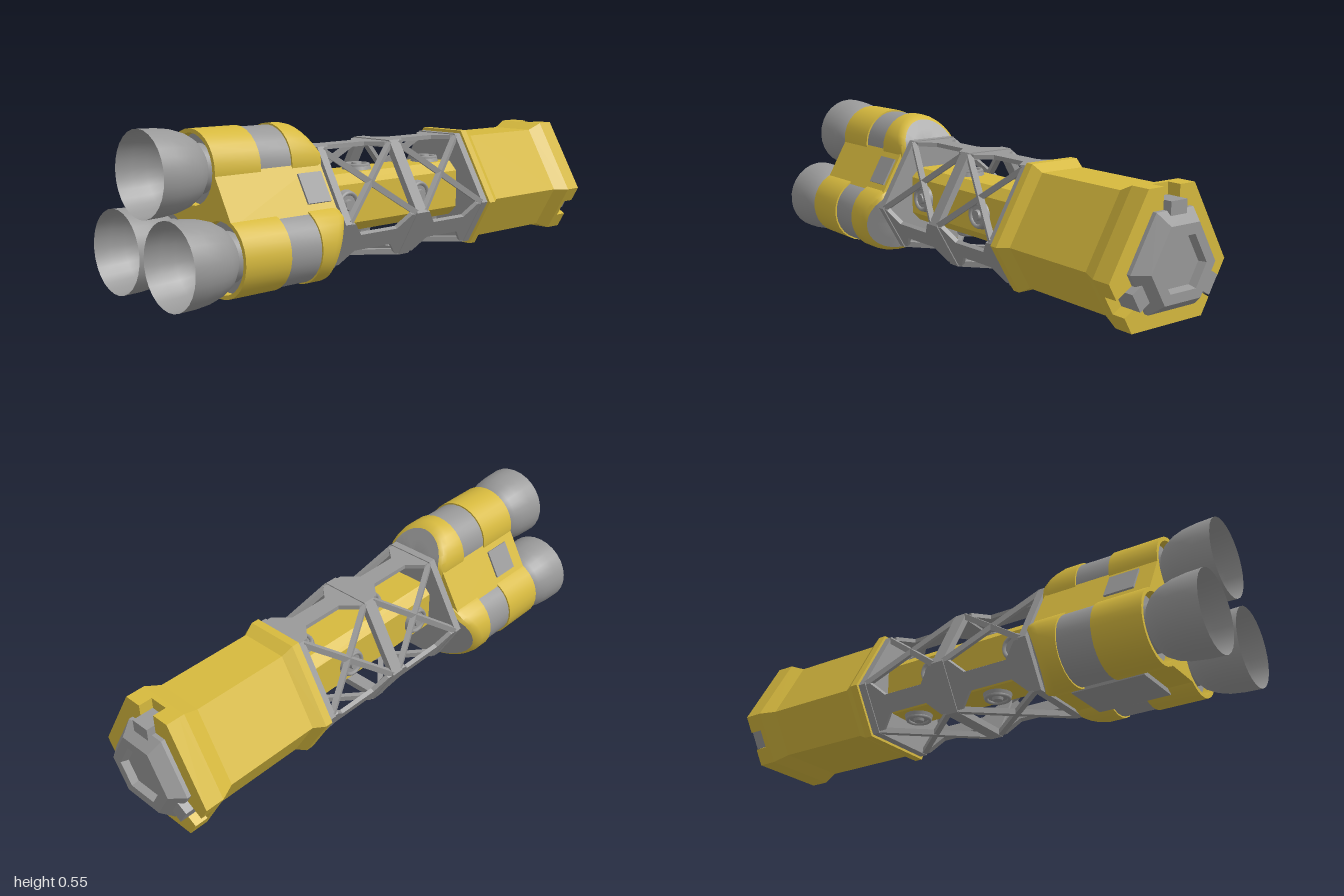
import * as THREE from 'three';
import { toCreasedNormals } from 'three/addons/utils/BufferGeometryUtils.js';

const yellow = new THREE.MeshStandardMaterial({ color: 0xd6b93e });
yellow.name = 'yellow paint';
const grey = new THREE.MeshStandardMaterial({ color: 0x999999 });
grey.name = 'grey metal';
const shell = new THREE.MeshStandardMaterial({ color: 0x999999, side: THREE.DoubleSide });
shell.name = 'thin grey metal';

const CENTRE_Y = 0.231;
const DEG = Math.PI / 180;
const CORNERS = [-30, 90, 210];
const POD = 0.178; // distance of each engine from the axis

function add(parent, name, geometry, material, x = 0, y = 0, z = 0) {
  const mesh = new THREE.Mesh(geometry, material);
  mesh.name = name;
  mesh.position.set(x, y, z);
  parent.add(mesh);
  return mesh;
}

// Skin between rings of points; rings run from +z to -z on an outer wall
function loft(rings, crease = 35) {
  const n = rings[0].length, index = [];
  for (let i = 0; i < rings.length - 1; i++) {
    for (let j = 0; j < n; j++) {
      const a = i * n + j, b = i * n + (j + 1) % n;
      index.push(a, a + n, b, b, a + n, b + n);
    }
  }
  const g = new THREE.BufferGeometry();
  g.setAttribute('position', new THREE.Float32BufferAttribute(rings.flat(2), 3));
  g.setIndex(index);
  return toCreasedNormals(g, crease * DEG);
}

// Round ring; z may be a number or a rule of the local y
function circle(r, z, n = 28) {
  return Array.from({ length: n }, (_, i) => {
    const a = i / n * Math.PI * 2, y = r * Math.sin(a);
    return [r * Math.cos(a), y, typeof z === 'function' ? z(y) : z];
  });
}

// Triangle with cut corners
function hex(r, z, half = 23) {
  return CORNERS.flatMap(d => [d - half, d + half])
    .map(a => [r * Math.cos(a * DEG), r * Math.sin(a * DEG), z]);
}
const hexLoft = (profile, half) => loft(profile.map(([r, z]) => hex(r, z, half)), 10);
const roundLoft = profile => loft(profile.map(([r, z]) => circle(r, z)));

function extrude(shape, depth, curveSegments = 16) {
  return new THREE.ExtrudeGeometry(shape, { depth, bevelEnabled: false, curveSegments });
}

function beam(parent, name, a, b, w) {
  const m = add(parent, name, new THREE.BoxGeometry(w, w, a.distanceTo(b)), grey);
  m.position.copy(a).add(b).multiplyScalar(0.5);
  m.lookAt(b);
}

function buildEngine() {
  const g = new THREE.Group();
  g.name = 'enginePod';
  // The inner end slopes away towards the outside
  const end = offset => y => 0.36 + Math.max(0, y - 0.022) * 0.6 + offset;
  add(g, 'podFront', roundLoft([[0.118, 0.77], [0.118, 0.81], [0.132, 0.81], [0.132, 0.63], [0.126, 0.63]]), yellow);
  add(g, 'podFloor', roundLoft([[0, 0.775], [0.119, 0.775]]), grey);
  add(g, 'podBand', roundLoft([[0.126, 0.63], [0.126, 0.5]]), grey);
  add(g, 'podRear', roundLoft([[0.126, 0.5], [0.132, 0.5], [0.132, end(0.03)], [0.127, end(0.01)], [0.115, end(0)]]), yellow);
  add(g, 'podEndCap', roundLoft([[0.115, end(0)], [0.08, end(0)], [0.04, end(0)], [0, end(0)]]), grey);
  // Bell nozzle with its throat
  add(g, 'nozzleNeck', roundLoft([[0.083, 0.802], [0.083, 0.77]]), grey);
  add(g, 'nozzleBell', roundLoft([[0.142, 1], [0.14, 0.94], [0.134, 0.89], [0.122, 0.85], [0.105, 0.82], [0.083, 0.8]]), shell);
  add(g, 'nozzleThroat', new THREE.CircleGeometry(0.083, 28), grey, 0, 0, 0.803);
  return g;
}

function buildEngineBlock() {
  const g = new THREE.Group();
  g.name = 'engineBlock';
  for (const d of CORNERS) {
    const pod = buildEngine();
    pod.position.set(POD * Math.cos(d * DEG), POD * Math.sin(d * DEG), 0);
    pod.rotation.z = (d - 90) * DEG;
    g.add(pod);
  }
  // Triangular core, hollowed where the pods sit
  const core = new THREE.Shape();
  for (const d of CORNERS) {
    core.absarc(POD * Math.cos(d * DEG), POD * Math.sin(d * DEG), 0.122, (d - 88.7) * DEG, (d + 88.7) * DEG, true);
  }
  add(g, 'engineCore', extrude(core, 0.435), yellow, 0, 0, 0.375);
  // Access panels in the valleys: direction, z range, width, height
  for (const [d, z0, z1, w, h] of [[30, 0.39, 0.49, 0.11, 0.203], [150, 0.64, 0.75, 0.11, 0.203], [270, 0.45, 0.72, 0.2, 0.213]]) {
    const p = add(g, 'valleyPanel', new THREE.BoxGeometry(w, 0.03, z1 - z0), grey);
    p.position.set((h - 0.015) * Math.cos(d * DEG), (h - 0.015) * Math.sin(d * DEG), (z0 + z1) / 2);
    p.rotation.z = (d - 90) * DEG;
  }
  return g;
}

function buildTruss() {
  const g = new THREE.Group();
  g.name = 'truss';
  // End plates and open middle frame
  for (const z of [0.36, -0.34]) {
    add(g, 'endFrame', hexLoft([[0, z], [0.243, z], [0.243, z - 0.03], [0, z - 0.03]]), grey);
  }
  const ring = new THREE.Shape(hex(0.243, 0).map(p => new THREE.Vector2(p[0], p[1])));
  ring.holes.push(new THREE.Path(hex(0.212, 0).map(p => new THREE.Vector2(p[0], p[1]))));
  add(g, 'middleFrame', extrude(ring, 0.05), grey, 0, 0, -0.035);

  const verts = hex(0.229, 0);
  for (const [z0, z1] of [[0.01, 0.335], [-0.345, -0.03]]) {
    // Corner strips that widen at the frames
    const L = (z1 - z0) / 2;
    const half = [[0.09, -L], [0.09, -L + 0.025], [0.035, -L + 0.075], [0.035, L - 0.075], [0.09, L - 0.025], [0.09, L]];
    const outline = [...half, ...half.map(([x, y]) => [-x, y]).reverse()];
    const strip = extrude(new THREE.Shape(outline.map(p => new THREE.Vector2(...p))), 0.016).rotateX(-Math.PI / 2);
    for (const d of CORNERS) {
      const m = add(g, 'cornerStrip', strip, grey);
      m.position.set(0.204 * Math.cos(d * DEG), 0.204 * Math.sin(d * DEG), (z0 + z1) / 2);
      m.rotation.z = (d - 90) * DEG;
    }
    // Crossed braces on the wide faces
    for (const i of [1, 3, 5]) {
      const p = verts[i], q = verts[(i + 1) % 6];
      beam(g, 'crossBrace', new THREE.Vector3(p[0], p[1], z0), new THREE.Vector3(q[0], q[1], z1), 0.021);
      beam(g, 'crossBrace', new THREE.Vector3(q[0], q[1], z0), new THREE.Vector3(p[0], p[1], z1), 0.02);
    }
  }
  return g;
}

function buildTank() {
  const g = new THREE.Group();
  g.name = 'innerTank';
  // Square tank with cut edges
  const h = 0.105, c = 0.07;
  const pts = [[h, -c], [h, c], [c, h], [-c, h], [-h, c], [-h, -c], [-c, -h], [c, -h]];
  add(g, 'tankBody', extrude(new THREE.Shape(pts.map(p => new THREE.Vector2(...p))), 0.67), yellow, 0, 0.012, -0.34);
  // Round hatches, two on each side
  for (let k = 0; k < 4; k++) {
    for (const z of k % 2 ? [0.24, -0.12] : [0.09, -0.27]) {
      const hatch = new THREE.Group();
      hatch.name = 'hatch';
      const a = Math.PI / 2 * k;
      hatch.position.set(-Math.sin(a) * h, 0.012 + Math.cos(a) * h, z);
      hatch.rotation.z = a;
      add(hatch, 'hatchPlate', new THREE.CylinderGeometry(0.05, 0.055, 0.016, 20), grey, 0, 0.006);
      add(hatch, 'hatchRim', new THREE.TorusGeometry(0.043, 0.008, 6, 20).rotateX(Math.PI / 2), grey, 0, 0.015);
      add(hatch, 'hatchHub', new THREE.CylinderGeometry(0.018, 0.022, 0.014, 12), grey, 0, 0.018);
      g.add(hatch);
    }
  }
  return g;
}

function buildRearModule() {
  const g = new THREE.Group();
  g.name = 'rearModule';
  add(g, 'rearHull', hexLoft([[0, -0.37], [0.255, -0.37], [0.255, -0.4], [0.228, -0.44], [0.228, -0.81], [0.255, -0.87], [0.255, -0.89], [0, -0.89]]), yellow);
  // End rim with a notch in each cut corner
  const rim = new THREE.Shape(), out = 0.255 * Math.cos(23 * DEG), side = 0.255 * Math.sin(23 * DEG);
  const notch = [[out, -side], [out, -0.035], [0.185, -0.035], [0.185, 0.035], [out, 0.035], [out, side]];
  const points = CORNERS.flatMap(d => notch.map(([u, t]) => new THREE.Vector2(u, t).rotateAround(new THREE.Vector2(), d * DEG)));
  rim.setFromPoints(points);
  add(g, 'rearRim', extrude(rim, 0.05), yellow, 0, 0, -0.94);
  // Docking cap with a recessed centre
  add(g, 'dockingCap', hexLoft([[0.182, -0.93], [0.182, -0.955], [0.14, -1], [0.1, -1], [0.09, -0.975], [0, -0.975]], 26), grey);
  for (const d of CORNERS) {
    const lug = add(g, 'dockingLug', new THREE.BoxGeometry(0.07, 0.06, 0.08), grey);
    lug.position.set(0.165 * Math.cos(d * DEG), 0.165 * Math.sin(d * DEG), -0.931);
    lug.rotation.z = (d - 90) * DEG;
  }
  return g;
}

export function createModel() {
  const model = new THREE.Group();
  model.name = 'spacecraft';
  const body = new THREE.Group();
  body.name = 'body';
  body.position.set(-0.002, CENTRE_Y, 0);
  body.add(buildEngineBlock(), buildTruss(), buildTank(), buildRearModule());
  model.add(body);
  return model;
}
